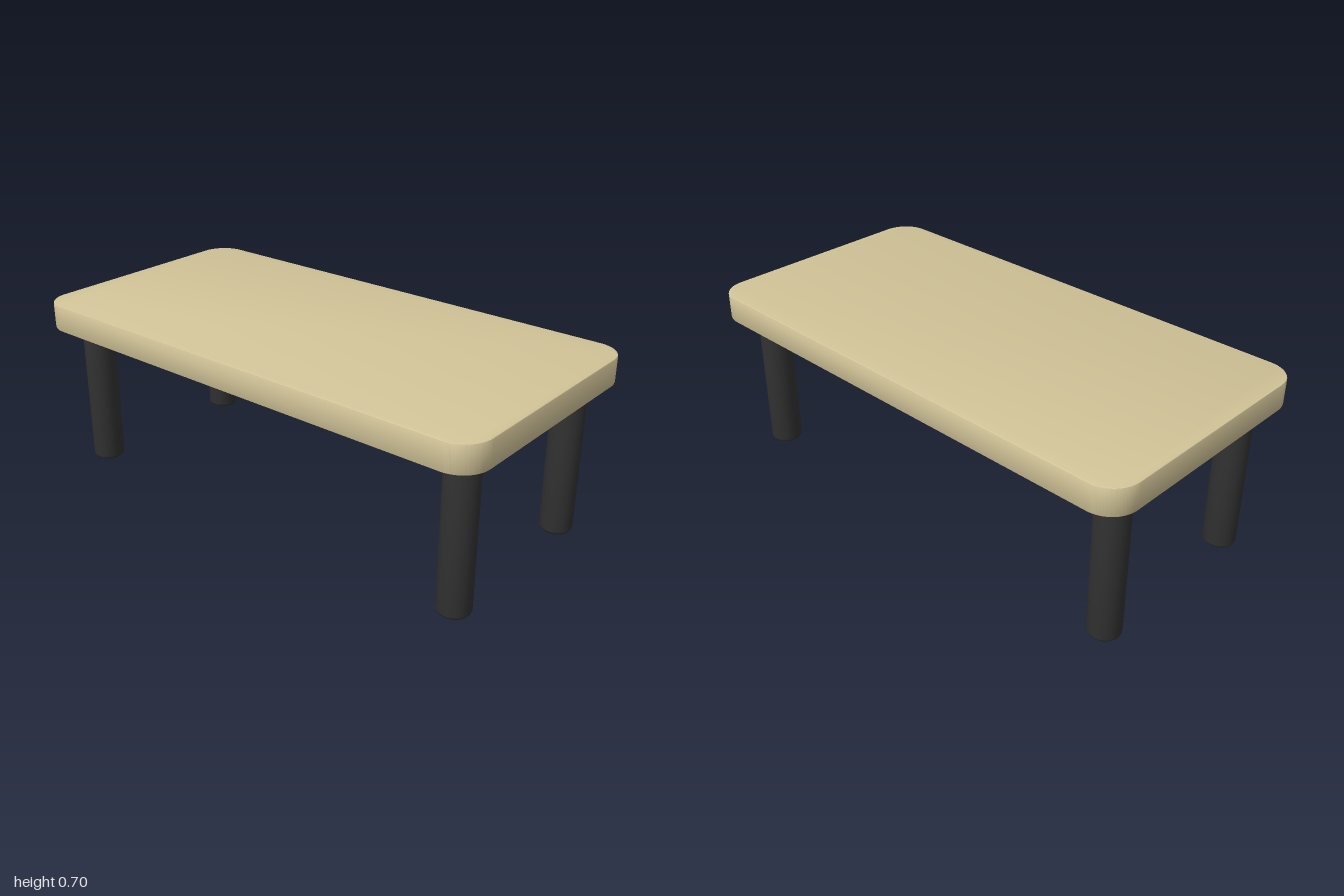
import * as THREE from 'three';
import { toCreasedNormals } from 'three/addons/utils/BufferGeometryUtils.js';

const WIDTH = 2, DEPTH = 1.008, CORNER = 0.11;
const TOP_Y = 0.697, UNDER_Y = 0.592, BEVEL = 0.005;
const LEG_X = 0.872, LEG_Z = 0.342, LEG_R = 0.062;

// Rectangle with rounded corners, centred on the origin
function roundedRect(w, d, r) {
  const x = w / 2, y = d / 2;
  const s = new THREE.Shape();
  s.absarc(x - r, y - r, r, 0, Math.PI / 2);
  s.absarc(-x + r, y - r, r, Math.PI / 2, Math.PI);
  s.absarc(-x + r, -y + r, r, Math.PI, Math.PI * 1.5);
  s.absarc(x - r, -y + r, r, Math.PI * 1.5, Math.PI * 2);
  s.closePath();
  return s;
}

export function createModel() {
  const wood = new THREE.MeshStandardMaterial({ color: 0xd2c498 });
  wood.name = 'paleWood';
  const black = new THREE.MeshStandardMaterial({ color: 0x333333 });
  black.name = 'charcoal';

  const table = new THREE.Group();
  table.name = 'table';

  // Tabletop: rounded slab with a fine bevel on both rims
  const slab = new THREE.ExtrudeGeometry(roundedRect(WIDTH, DEPTH, CORNER), {
    depth: TOP_Y - UNDER_Y - 2 * BEVEL,
    bevelEnabled: true, bevelSize: BEVEL, bevelThickness: BEVEL,
    bevelOffset: -BEVEL, bevelSegments: 2, curveSegments: 12,
  });
  slab.rotateX(-Math.PI / 2);
  slab.translate(0, UNDER_Y + BEVEL, 0);
  const top = new THREE.Mesh(toCreasedNormals(slab, 0.4), wood);
  top.name = 'tabletop';
  table.add(top);

  // Legs: round posts with a softened foot
  const profile = [
    [0, 0], [LEG_R - 0.008, 0], [LEG_R - 0.003, 0.005],
    [LEG_R, 0.014], [LEG_R, UNDER_Y], [0, UNDER_Y],
  ].map(([r, y]) => new THREE.Vector2(r, y));
  const legGeometry = toCreasedNormals(new THREE.LatheGeometry(profile, 32), 0.6);
  for (const [sx, side] of [[1, 'Left'], [-1, 'Right']]) {
    for (const [sz, end] of [[1, 'front'], [-1, 'back']]) {
      const leg = new THREE.Mesh(legGeometry, black);
      leg.name = `${end}${side}Leg`;
      leg.position.set(sx * LEG_X, 0, sz * LEG_Z);
      table.add(leg);
    }
  }
  return table;
}
